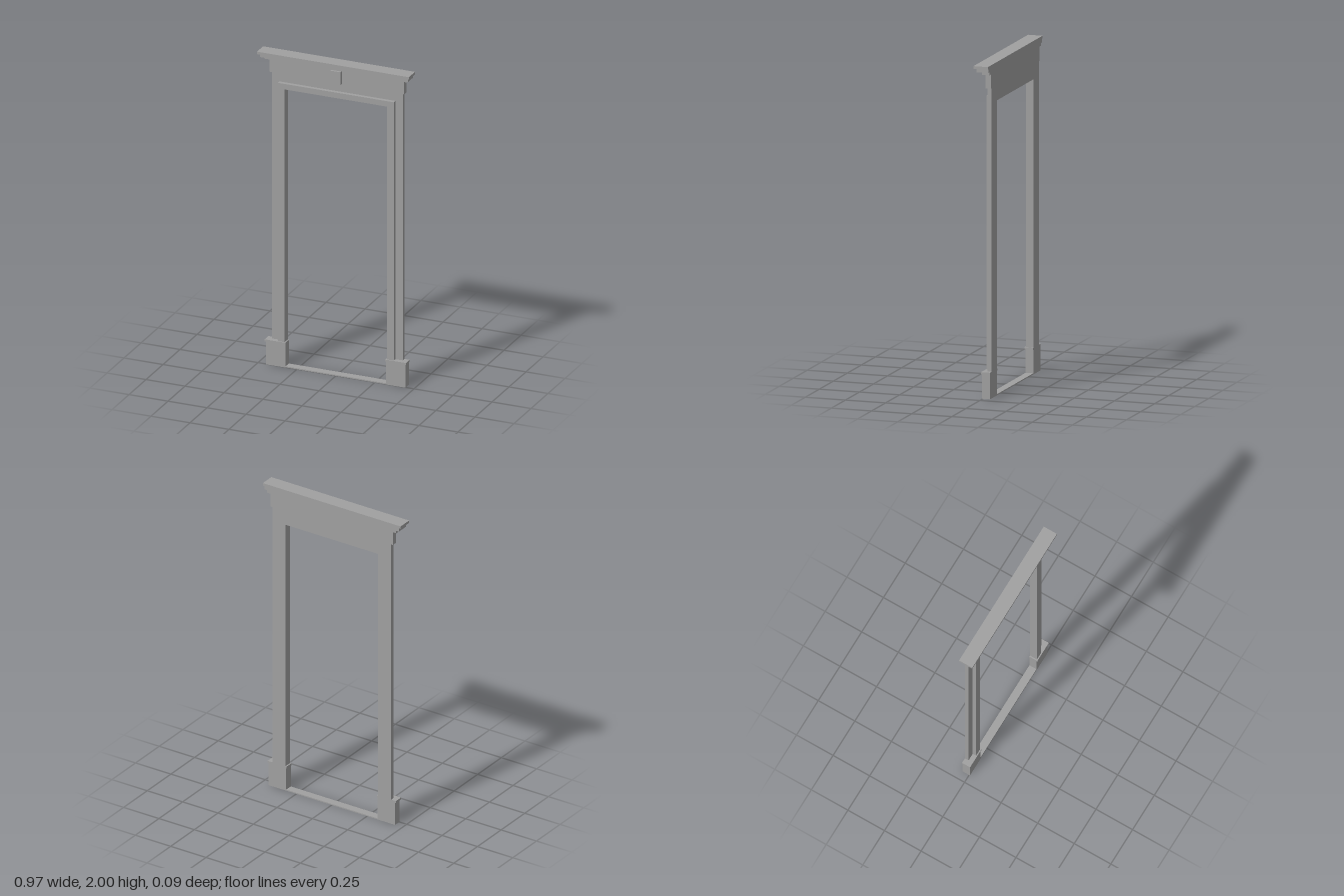
import * as THREE from 'three';

const BACK = -0.045;

export function createModel() {
  const group = new THREE.Group();
  const stone = new THREE.MeshStandardMaterial({ color: 0xa0a0a0 });
  stone.name = 'grey stone';

  function add(name, geometry) {
    const mesh = new THREE.Mesh(geometry, stone);
    mesh.name = name;
    group.add(mesh);
    return mesh;
  }

  // block given by its extents; the back is flush with the wall unless stated
  function block(name, x0, x1, y0, y1, front, back = BACK) {
    const mesh = add(name, new THREE.BoxGeometry(x1 - x0, y1 - y0, front - back));
    mesh.position.set((x0 + x1) / 2, (y0 + y1) / 2, (front + back) / 2);
  }

  // upside-down U running up both jambs and across the head
  function surround(name, outer, top, inner, innerTop, bottom, front) {
    const shape = new THREE.Shape([
      [-outer, bottom], [-inner, bottom], [-inner, innerTop], [inner, innerTop],
      [inner, bottom], [outer, bottom], [outer, top], [-outer, top],
    ].map(([x, y]) => new THREE.Vector2(x, y)));
    const geometry = new THREE.ExtrudeGeometry(shape, { depth: front - BACK, bevelEnabled: false });
    add(name, geometry.translate(0, 0, BACK));
  }

  // door casing: wide backing frame with a raised inner moulding
  surround('outerCasing', 0.42, 1.86, 0.372, 1.805, 0.16, -0.02);
  surround('innerMoulding', 0.372, 1.805, 0.328, 1.77, 0.16, 0.003);

  // plinth blocks with thin caps
  for (const side of [-1, 1]) {
    const label = side > 0 ? 'left' : 'right';
    const span = (a, b) => (side > 0 ? [a, b] : [-b, -a]);
    block(label + 'Plinth', ...span(0.322, 0.447), 0, 0.147, 0.005);
    block(label + 'PlinthCap', ...span(0.32, 0.453), 0.147, 0.16, 0.01);
  }

  // threshold between the plinths
  block('threshold', -0.322, 0.322, 0, 0.007, 0.003);

  // frieze with a central key block
  block('frieze', -0.432, 0.432, 1.86, 1.945, -0.012);
  block('keyBlock', -0.033, 0.033, 1.86, 1.942, 0.01, -0.012);

  // cornice stepping outward to the top
  const steps = [
    [0.456, 1.945, 1.962, 0.004],
    [0.475, 1.962, 1.984, 0.03],
    [0.487, 1.984, 2.0, 0.045],
  ];
  steps.forEach(([half, y0, y1, front], i) =>
    block('corniceStep' + (i + 1), -half, half, y0, y1, front));

  return group;
}
